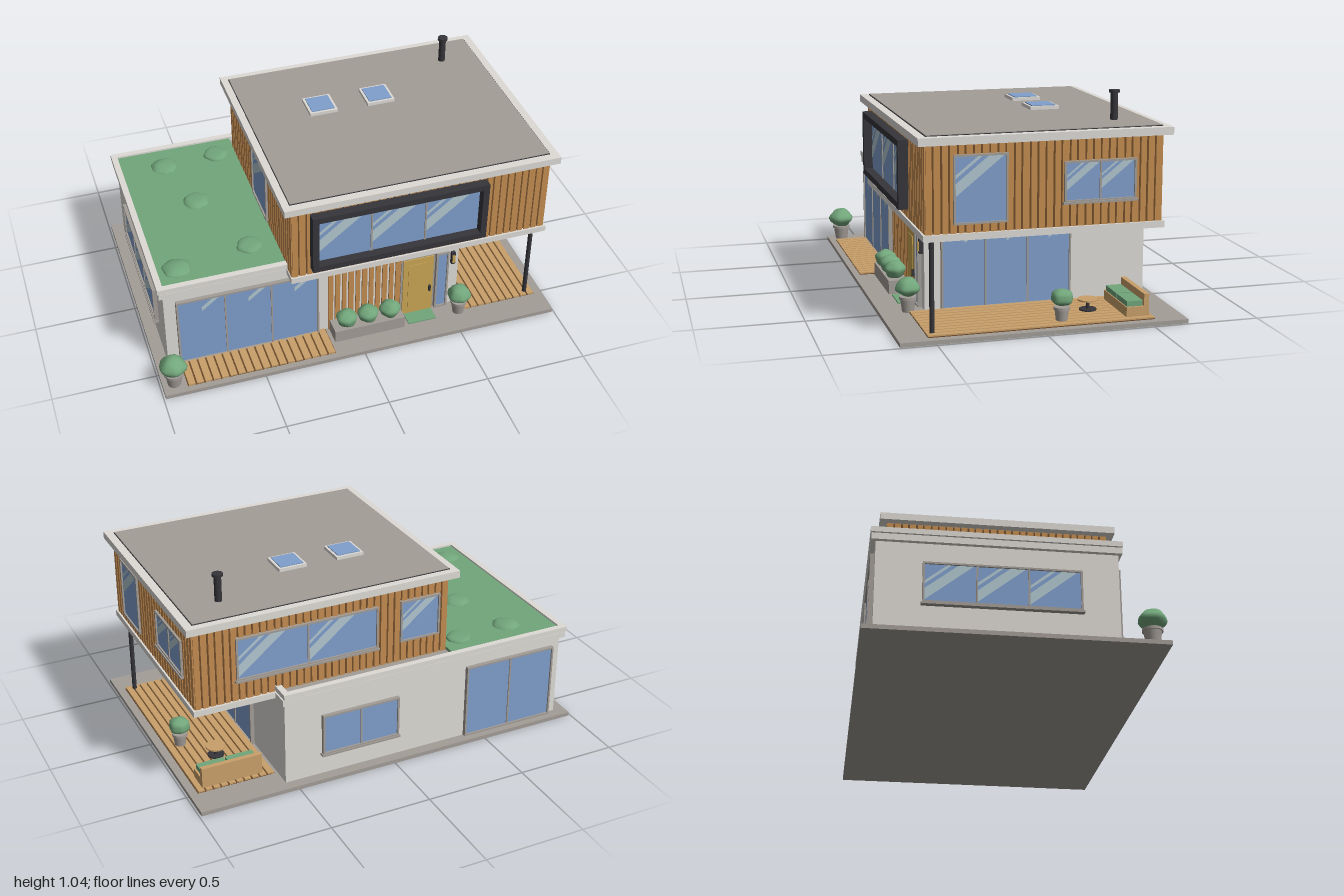
import * as THREE from 'three';
import { mergeVertices } from 'three/addons/utils/BufferGeometryUtils.js';

const mat = (name, color, side = THREE.FrontSide) => {
  const m = new THREE.MeshStandardMaterial({ color, side });
  m.name = name;
  return m;
};
const wall = mat('render white', 0xdedbd6);
const stone = mat('stone grey', 0xa39d97);
const wood = mat('cladding wood', 0xc48c50);
const darkWood = mat('dark wood', 0x6e4a2a);
const deckWood = mat('deck wood', 0xc9a06a);
const glass = mat('glass blue', 0x7f9fcc);
const glare = mat('glass reflection', 0xb2c7d0, THREE.DoubleSide);
const black = mat('black metal', 0x36363b);
const green = mat('plant green', 0x72a67b);
const yellow = mat('door yellow', 0xcaa653);

function add(parent, name, geo, material, x = 0, y = 0, z = 0) {
  const m = new THREE.Mesh(geo, material);
  m.name = name;
  m.position.set(x, y, z);
  parent.add(m);
  return m;
}

// Box given by its two corners
function box(parent, name, material, x0, x1, y0, y1, z0, z1) {
  return add(parent, name, new THREE.BoxGeometry(x1 - x0, y1 - y0, z1 - z0), material,
    (x0 + x1) / 2, (y0 + y1) / 2, (z0 + z1) / 2);
}

function cyl(parent, name, material, rTop, rBottom, y0, y1, x, z) {
  return add(parent, name, new THREE.CylinderGeometry(rTop, rBottom, y1 - y0, 20), material, x, (y0 + y1) / 2, z);
}

// Rectangular ring of four bars lying flat
function rim(parent, name, material, x0, x1, y0, y1, z0, z1, t) {
  box(parent, name, material, x0, x1, y0, y1, z0, z0 + t);
  box(parent, name, material, x0, x1, y0, y1, z1 - t, z1);
  box(parent, name, material, x0, x0 + t, y0, y1, z0 + t, z1 - t);
  box(parent, name, material, x1 - t, x1, y0, y1, z0 + t, z1 - t);
}

// Wall face group: local x runs to the right as seen from outside, local z points out
function face(parent, name, turn, distance) {
  const g = new THREE.Group();
  g.name = name;
  g.rotation.y = turn * Math.PI / 2;
  g.position.set(Math.sin(g.rotation.y) * distance, 0, Math.cos(g.rotation.y) * distance);
  parent.add(g);
  return g;
}

// Framed window; reflections are 'large', 'small' or none
function windowUnit(f, name, x0, x1, y0, y1, panes, shine, frame = stone, t = 0.009, depth = 0.02) {
  const g = new THREE.Group();
  g.name = name;
  f.add(g);
  box(g, 'pane', glass, x0, x1, y0, y1, -0.01, 0.012);
  box(g, 'frameBottom', frame, x0 - t, x1 + t, y0 - t, y0, -0.01, depth);
  box(g, 'frameTop', frame, x0 - t, x1 + t, y1, y1 + t, -0.01, depth);
  box(g, 'frameSide', frame, x0 - t, x0, y0, y1, -0.01, depth);
  box(g, 'frameSide', frame, x1, x1 + t, y0, y1, -0.01, depth);
  const w = (x1 - x0) / panes, h = y1 - y0, k = Math.min(w * 0.8, h);
  for (let i = 0; i < panes; i++) {
    const px = x0 + i * w;
    if (i) box(g, 'mullion', stone, px - 0.004, px + 0.004, y0, y1, 0, 0.017);
    if (!shine) continue;
    const bands = shine === 'large' ? [[0.97, 0.66], [0.54, 0.45]] : [[0.4, 0.26]];
    const shift = shine === 'large' ? 0 : w * 0.5;
    for (const [a, b] of bands) {
      const pts = [[0, h - a * k], [a * k / 0.8, h], [b * k / 0.8, h], [0, h - b * k]];
      const s = new THREE.Shape(pts.map(p => new THREE.Vector2(p[0], p[1])));
      add(g, 'reflection', new THREE.ShapeGeometry(s), glare, px + shift, y0, 0.014);
    }
  }
  return g;
}

// Row of upright slats with slightly uneven widths
function slats(f, x0, x1, y0, y1, pitch, cover) {
  const n = Math.round((x1 - x0) / pitch), p = (x1 - x0) / n;
  for (let i = 0; i < n; i++) {
    const w = p * (cover + 0.08 * Math.sin(i * 2.7));
    const c = x0 + (i + 0.5) * p;
    box(f, 'slat', wood, c - w / 2, c + w / 2, y0, y1, -0.002, 0.009);
  }
}

// Lumpy rounded shrub
function bush(parent, x, y, z, r, ry = r) {
  const src = new THREE.IcosahedronGeometry(1, 3);
  src.deleteAttribute('normal');
  src.deleteAttribute('uv');
  const geo = mergeVertices(src, 1e-4);
  const p = geo.attributes.position, v = new THREE.Vector3();
  for (let i = 0; i < p.count; i++) {
    v.fromBufferAttribute(p, i);
    const k = 0.96 + 0.07 * Math.sin(4 * v.x + x * 9) * Math.cos(5 * v.z + z * 7) + 0.05 * Math.sin(6 * v.y + x * 5);
    p.setXYZ(i, v.x * k * r, v.y * k * ry, v.z * k * r);
  }
  geo.computeVertexNormals();
  add(parent, 'bush', geo, green, x, y, z);
}

function pottedBush(parent, x, z, s) {
  cyl(parent, 'pot', stone, 0.037 * s, 0.028 * s, 0.02, 0.085, x, z);
  cyl(parent, 'potRim', stone, 0.041 * s, 0.041 * s, 0.08, 0.093, x, z);
  bush(parent, x, 0.135, z, 0.058 * s, 0.046 * s);
}

function planks(parent, x0, x1, z0, z1, n) {
  box(parent, 'deckBase', darkWood, x0, x1, 0.02, 0.023, z0, z1);
  const p = (x1 - x0) / n;
  for (let i = 0; i < n; i++) box(parent, 'plank', deckWood, x0 + i * p + 0.004, x0 + (i + 1) * p - 0.004, 0.02, 0.03, z0, z1);
}

export function createModel() {
  const house = new THREE.Group();
  house.name = 'house';
  box(house, 'basePlate', stone, -0.99, 0.99, 0, 0.02, -0.667, 0.663);

  // Ground floor and its planted roof
  box(house, 'groundWalls', wall, -0.93, 0.55, 0.02, 0.445, -0.615, 0.455);
  box(house, 'lowerRoof', wall, -0.95, 0.565, 0.445, 0.475, -0.635, 0.47);
  rim(house, 'lowerParapet', wall, -0.955, 0.56, 0.478, 0.503, -0.638, 0.472, 0.03);
  box(house, 'parapetShadowGap', stone, -0.94, 0.55, 0.475, 0.478, -0.625, 0.46);
  box(house, 'roofGrass', green, -0.926, -0.33, 0.478, 0.494, -0.609, 0.443);
  for (const [x, z] of [[-0.71, -0.47], [-0.43, -0.49], [-0.62, -0.14], [-0.83, 0.33], [-0.46, 0.27]])
    bush(house, x, 0.494, z, 0.068, 0.02);

  // Upper floor
  box(house, 'upperSlab', wall, -0.335, 0.96, 0.447, 0.477, -0.55, 0.55);
  box(house, 'upperWalls', darkWood, -0.322, 0.942, 0.477, 0.87, -0.532, 0.532);
  box(house, 'upperRoof', wall, -0.37, 0.985, 0.868, 0.903, -0.575, 0.575);
  box(house, 'roofEdge', black, -0.335, 0.945, 0.9, 0.906, -0.54, 0.535);
  box(house, 'roofSurface', stone, -0.332, 0.942, 0.9, 0.909, -0.537, 0.532);

  const upFront = face(house, 'upperFront', 0, 0.532);
  const upRight = face(house, 'upperRightSide', 1, 0.942);
  const upBack = face(house, 'upperBack', 2, 0.532);
  const upLeft = face(house, 'upperLeftSide', 3, 0.322);
  slats(upFront, -0.33, 0.95, 0.477, 0.868, 0.036, 0.8);
  slats(upRight, -0.54, 0.54, 0.477, 0.868, 0.036, 0.76);
  slats(upBack, -0.95, 0.33, 0.477, 0.868, 0.036, 0.76);
  slats(upLeft, -0.54, 0.54, 0.477, 0.868, 0.036, 0.76);

  // Projecting picture window
  windowUnit(upFront, 'pictureWindow', -0.21, 0.595, 0.55, 0.805, 3, 'large', black, 0.03, 0.055);
  windowUnit(upRight, 'tallSideWindow', -0.407, -0.182, 0.525, 0.812, 1, 'large');
  windowUnit(upRight, 'wideSideWindow', 0.09, 0.405, 0.595, 0.76, 2, 'large');
  windowUnit(upBack, 'wideBackWindow', -0.74, -0.05, 0.59, 0.785, 2, 'large');
  windowUnit(upBack, 'smallBackWindow', 0.085, 0.275, 0.59, 0.785, 1, 'large');
  windowUnit(upLeft, 'tallLeftWindow', -0.1, 0.14, 0.525, 0.812, 1, 'large');
  box(upRight, 'windowSill', stone, 0.075, 0.42, 0.578, 0.588, 0, 0.026);
  box(upBack, 'windowSill', stone, -0.755, -0.035, 0.572, 0.582, 0, 0.026);

  // Ground floor windows
  const front = face(house, 'groundFront', 0, 0.455);
  const right = face(house, 'groundRightSide', 1, 0.55);
  const back = face(house, 'groundBack', 2, 0.615);
  const left = face(house, 'groundLeftSide', 3, 0.93);
  windowUnit(front, 'frontSlidingDoors', -0.865, -0.185, 0.03, 0.395, 3, 'small');
  windowUnit(right, 'terraceSlidingDoors', -0.37, 0.237, 0.03, 0.395, 3, 'small');
  windowUnit(back, 'backSlidingDoors', 0.41, 0.88, 0.03, 0.395, 2, null);
  windowUnit(back, 'backWindow', -0.355, 0.025, 0.14, 0.33, 2, null);
  windowUnit(left, 'leftWindow', -0.4, 0.28, 0.165, 0.34, 3, 'large');
  box(back, 'windowSill', stone, -0.37, 0.04, 0.122, 0.132, 0, 0.025);
  box(left, 'windowSill', stone, -0.415, 0.295, 0.147, 0.157, 0, 0.025);

  // Entrance
  slats(front, -0.13, 0.25, 0.02, 0.445, 0.034, 0.68);
  box(front, 'doorFrame', stone, 0.248, 0.425, 0.02, 0.372, 0, 0.008);
  box(front, 'frontDoor', yellow, 0.258, 0.415, 0.02, 0.362, 0, 0.014);
  box(front, 'doorPanel', yellow, 0.285, 0.375, 0.06, 0.33, 0, 0.017);
  box(front, 'doorHandle', black, 0.393, 0.402, 0.145, 0.18, 0.01, 0.026);
  windowUnit(front, 'sidelight', 0.437, 0.485, 0.03, 0.36, 1, null);
  box(front, 'lampBracket', black, 0.508, 0.528, 0.285, 0.355, 0, 0.018);
  box(front, 'lampGlow', yellow, 0.511, 0.525, 0.297, 0.34, 0.016, 0.024);
  box(house, 'doorMat', green, 0.265, 0.41, 0.02, 0.026, 0.475, 0.55);
  box(house, 'planter', stone, -0.12, 0.24, 0.02, 0.085, 0.468, 0.56);
  for (const x of [-0.05, 0.06, 0.175]) bush(house, x, 0.125, 0.517, 0.053, 0.044);

  // Decks, terrace post and furniture
  planks(house, -0.875, -0.14, 0.46, 0.632, 18);
  planks(house, 0.565, 0.95, -0.52, 0.53, 10);
  cyl(house, 'terracePost', black, 0.011, 0.011, 0.02, 0.447, 0.907, 0.503);
  box(house, 'benchSeat', deckWood, 0.62, 0.92, 0.03, 0.075, -0.5, -0.395);
  box(house, 'benchBack', deckWood, 0.62, 0.92, 0.03, 0.132, -0.502, -0.478);
  for (const x of [0.63, 0.774]) box(house, 'benchCushion', green, x, x + 0.136, 0.075, 0.1, -0.475, -0.4);
  cyl(house, 'tableTop', deckWood, 0.048, 0.048, 0.076, 0.083, 0.76, -0.265);
  cyl(house, 'tableLeg', black, 0.008, 0.008, 0.03, 0.076, 0.76, -0.265);
  cyl(house, 'tableFoot', black, 0.04, 0.04, 0.03, 0.036, 0.76, -0.265);
  pottedBush(house, -0.932, 0.592, 1.12);
  pottedBush(house, 0.535, 0.53, 1);
  pottedBush(house, 0.88, -0.1, 0.9);

  // Skylights and chimney
  for (const x of [0.032, 0.327]) {
    box(house, 'skylightFrame', wall, x - 0.07, x + 0.07, 0.903, 0.925, -0.235, -0.095);
    box(house, 'skylightGlass', glass, x - 0.058, x + 0.058, 0.92, 0.929, -0.223, -0.107);
  }
  cyl(house, 'chimney', black, 0.017, 0.017, 0.9, 1.035, 0.757, -0.378);
  cyl(house, 'chimneyCap', black, 0.025, 0.025, 1.032, 1.044, 0.757, -0.378);
  return house;
}
